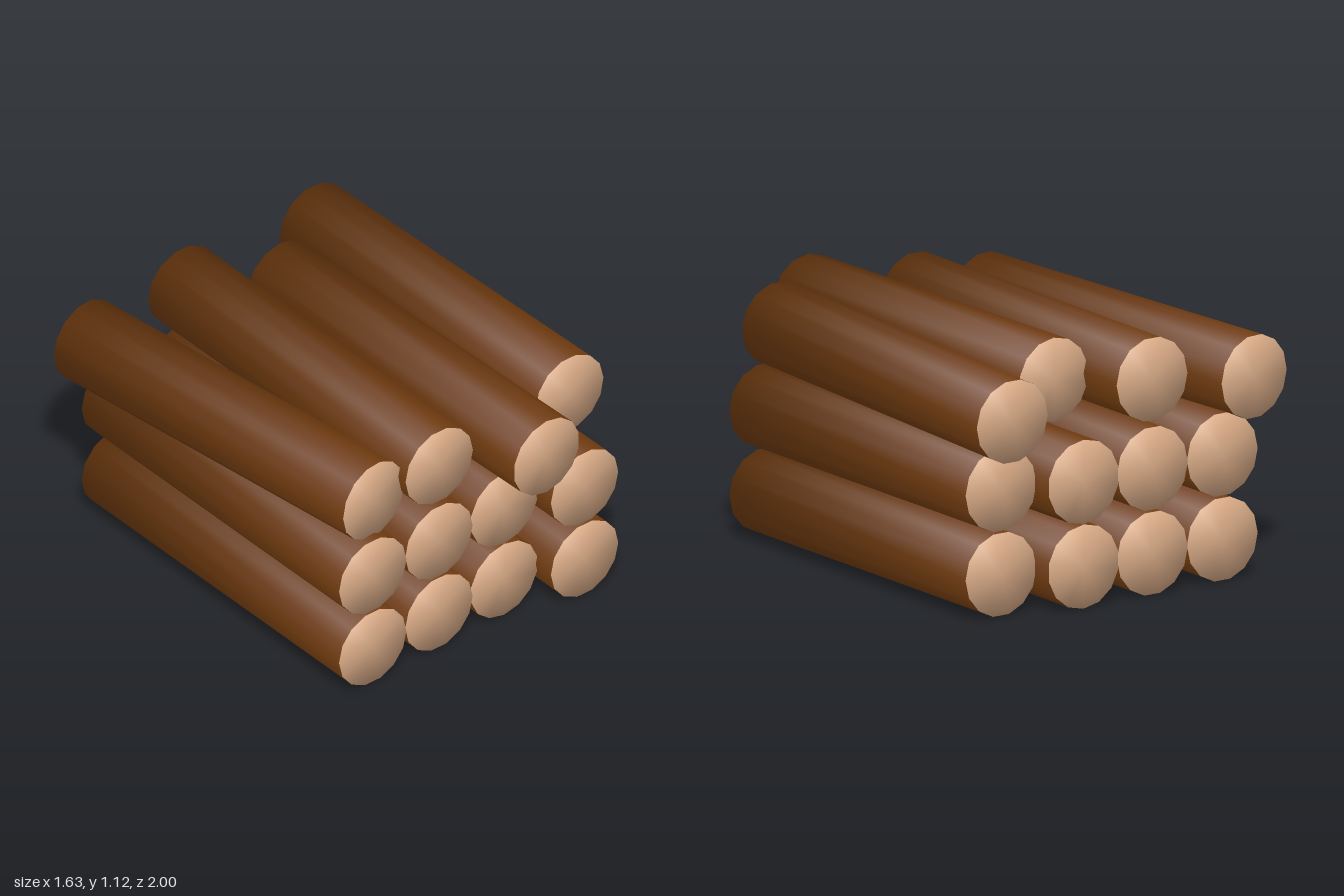
import * as THREE from 'three';

const RADIUS = 0.183;
const SIDES = 14;

// Log along z with flat ends; normals are shared between side and ends for a soft rim.
function logGeometry(length, roll) {
  const geo = new THREE.CylinderGeometry(RADIUS, RADIUS, length, SIDES, 1, false, roll);
  const pos = geo.attributes.position;
  const n = new THREE.Vector3();
  for (let i = 0; i < pos.count; i++) {
    n.set(pos.getX(i) / RADIUS, Math.sign(pos.getY(i)), pos.getZ(i) / RADIUS).normalize();
    geo.attributes.normal.setXYZ(i, n.x, n.y, n.z);
  }
  return geo.rotateX(Math.PI / 2);
}

export function createModel() {
  const model = new THREE.Group();
  model.name = 'logPile';

  const bark = new THREE.MeshStandardMaterial({ color: 0x703b0f });
  bark.name = 'bark brown';
  const cutWood = new THREE.MeshStandardMaterial({ color: 0xd8aa86 });
  cutWood.name = 'cut wood tan';

  // Places a log between the centres of its two ends.
  function addLog(name, front, back, roll = Math.PI / 2) {
    const a = new THREE.Vector3(...front);
    const b = new THREE.Vector3(...back);
    const log = new THREE.Mesh(logGeometry(a.distanceTo(b), roll), [bark, cutWood, cutWood]);
    log.name = name;
    log.position.copy(a).add(b).multiplyScalar(0.5);
    log.lookAt(a);
    model.add(log);
  }

  // Two tidy lower rows: x, front z, back z, roll
  const columns = [
    [-0.497, 0.77, -0.93, Math.PI / 2],
    [-0.125, 0.755, -0.945, Math.PI / 2],
    [0.237, 0.745, -0.955, 0],
    [0.592, 0.845, -0.855, Math.PI / 2],
  ];
  [['bottomLog', 0.188], ['middleLog', 0.556]].forEach(([name, y]) => {
    columns.forEach(([x, front, back, roll], i) => {
      addLog(name + (i + 1), [x, y, front], [x, y, back], roll);
    });
  });

  // Loose top row, shifted and tilted
  addLog('topLog1', [-0.455, 0.9, 0.725], [-0.635, 0.88, -0.967]);
  addLog('topLog2', [-0.125, 0.945, 0.757], [-0.125, 0.943, -0.943]);
  addLog('topLog3', [0.266, 0.945, 0.99], [0.216, 0.943, -0.71], 0);
  addLog('topLog4', [0.628, 0.946, 0.703], [0.634, 0.888, -0.995]);

  return model;
}
